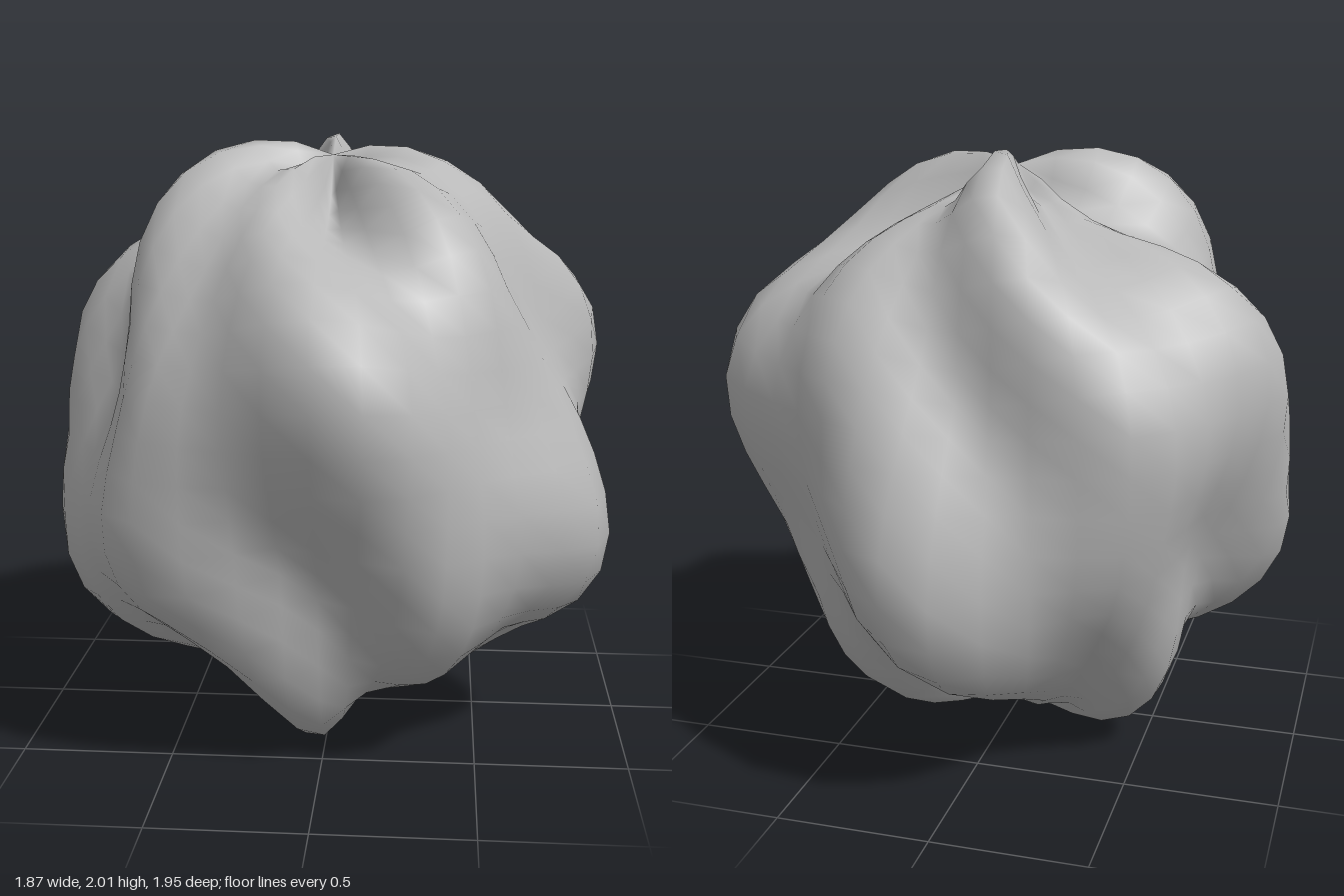
import * as THREE from 'three';
import { mergeVertices } from 'three/addons/utils/BufferGeometryUtils.js';

const SECTORS = 40, RINGS = 24, POLE_RADIUS = 0.94;

// Radius of the lumpy body at longitude u and latitude lat
function bodyRadius(u, lat) {
  const s = Math.sin(lat);
  const twist = 4.55 * Math.sign(s) * Math.pow(Math.abs(s), 1.6); // ribs upright at the middle, leaning above
  const base = 0.91 - 0.02 * Math.pow(Math.cos(lat), 20);
  const lobes = -0.1 * Math.sin(3 * u) * Math.sin(4 * lat);       // alternating big lobes
  const ribs = 0.046 * Math.cos(7 * u + twist);                   // seven slanting ribs
  return base + lobes + ribs;
}

export function createModel() {
  const group = new THREE.Group();
  group.name = 'lumpyBoulder';

  const stone = new THREE.MeshStandardMaterial({ color: 0xb8b8b8 });
  stone.name = 'grey stone';

  // Sphere grid pushed in and out along its radius; the ribs pinch together at the poles
  let geometry = new THREE.SphereGeometry(1, SECTORS, RINGS);
  geometry.deleteAttribute('uv');
  geometry.deleteAttribute('normal');
  const pos = geometry.attributes.position;
  const v = new THREE.Vector3();
  for (let i = 0; i < pos.count; i++) {
    const ring = Math.floor(i / (SECTORS + 1));
    const u = (i % (SECTORS + 1)) / SECTORS * Math.PI * 2;
    const lat = Math.PI * (0.5 - ring / RINGS);
    const atPole = ring === 0 || ring === RINGS;
    v.fromBufferAttribute(pos, i).multiplyScalar(atPole ? POLE_RADIUS : bodyRadius(u, lat));
    pos.setXYZ(i, v.x, v.y, v.z);
  }

  // Close the seam and smooth the surface
  geometry = mergeVertices(geometry, 1e-5);
  geometry.computeVertexNormals();

  const body = new THREE.Mesh(geometry, stone);
  body.name = 'body';
  body.position.y = 1;
  group.add(body);
  return group;
}
